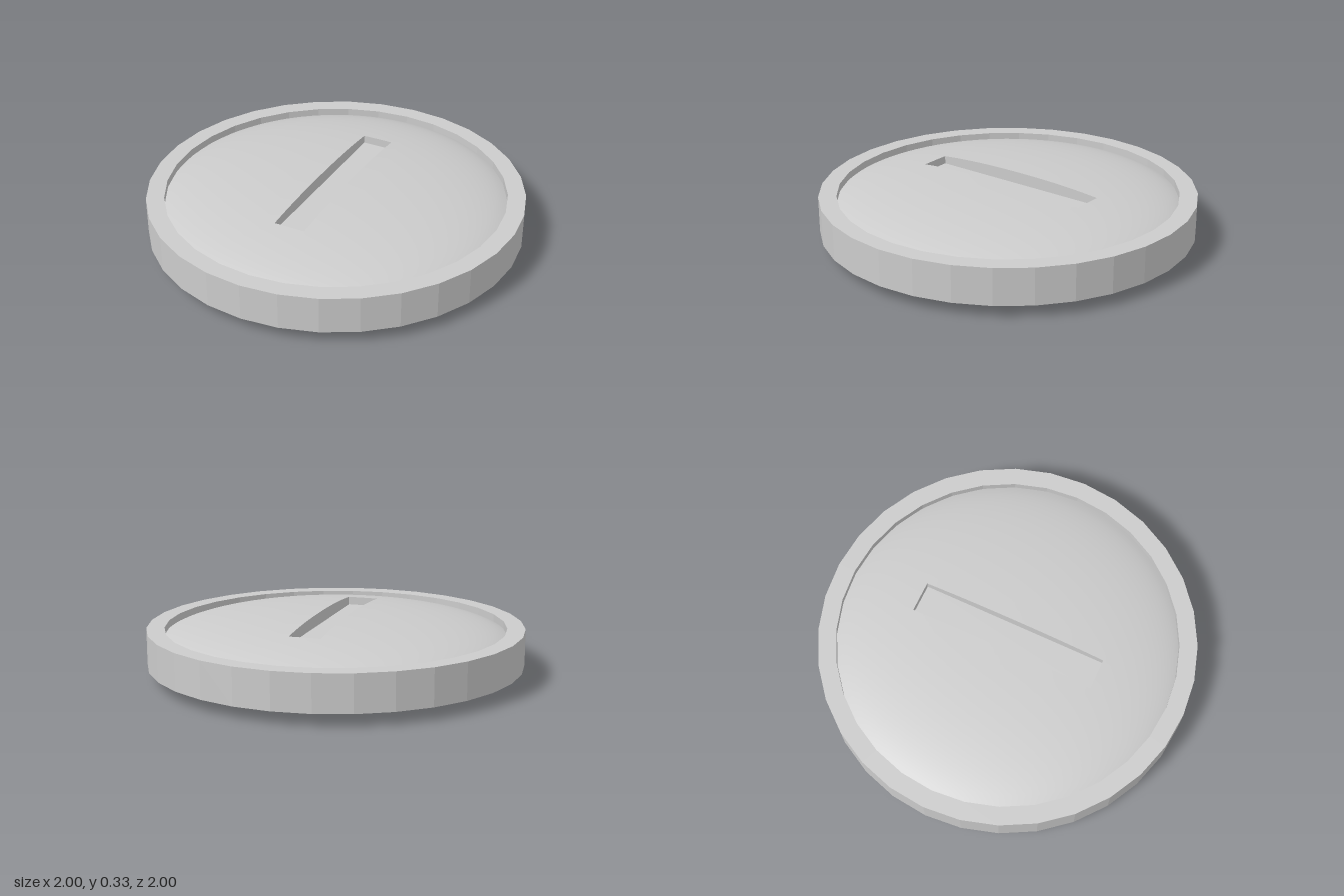
import * as THREE from 'three';

const MID = 0.164;               // height of the coin's middle plane
const W = 0.083, L = 0.51;       // half width and half length of the slot
const FLOOR = 0.262;             // slot floor height
const R = 0.92;                  // dome edge, tucked just inside the rim
const COLOR = 0xcccccc;

// Height of the domed face above the middle plane
const bulge = (x, z) => 0.163 * Math.sqrt(1 - Math.pow(Math.hypot(x, z) / 0.96, 2.2));

// Walk around the slot; each step also has a matching angle on the dome edge
function slotLoop() {
  const A = 0.35, P = Math.PI;
  const corners = [[-W, L, -A], [W, L, A], [W, -L, P - A], [-W, -L, P + A], [-W, L, 2 * P - A]];
  const loop = [];
  for (let s = 0; s < 4; s++) {
    const n = s % 2 ? 26 : 8;
    for (let i = 0; i < n; i++) {
      loop.push(corners[s].map((v, k) => THREE.MathUtils.lerp(v, corners[s + 1][k], i / n)));
    }
  }
  return loop;
}

// Skin a list of closed loops of equal length
function loft(rows, flip = false) {
  const n = rows[0].length, index = [];
  for (let r = 0; r < rows.length - 1; r++) {
    for (let i = 0; i < n; i++) {
      const j = (i + 1) % n;
      const a = r * n + i, b = a + n, c = (r + 1) * n + j, d = r * n + j;
      index.push(...(flip ? [a, c, b, a, d, c] : [a, b, c, a, c, d]));
    }
  }
  const geometry = new THREE.BufferGeometry();
  geometry.setAttribute('position', new THREE.Float32BufferAttribute(rows.flat(2), 3));
  geometry.setIndex(index);
  geometry.computeVertexNormals();
  return geometry;
}

// Domed face around the slot; side is 1 for the top, -1 for the bottom
function domeGeometry(side) {
  const rows = [], steps = 16;
  for (let k = 0; k <= steps; k++) {
    const t = Math.pow(k / steps, 0.75);
    rows.push(slotLoop().map(([x, z, a]) => {
      const px = THREE.MathUtils.lerp(x, R * Math.sin(a), t);
      const pz = THREE.MathUtils.lerp(z, R * Math.cos(a), t);
      return [px, MID + side * bulge(px, pz), pz];
    }));
  }
  return loft(rows, side < 0);
}

export function createModel() {
  const group = new THREE.Group();
  const smooth = new THREE.MeshStandardMaterial({ color: COLOR });
  const flat = new THREE.MeshStandardMaterial({ color: COLOR, flatShading: true });
  const add = (name, geometry, material) => {
    const mesh = new THREE.Mesh(geometry, material);
    mesh.name = name;
    group.add(mesh);
    return mesh;
  };

  // Faceted rim with a rectangular section
  const lo = MID - 0.097, hi = MID + 0.097;
  const section = [[0.905, lo], [1, lo], [1, hi], [0.905, hi], [0.905, lo]];
  add('rim', new THREE.LatheGeometry(section.map(p => new THREE.Vector2(...p)), 32), flat);

  // Domed faces
  add('topFace', domeGeometry(1), smooth);
  add('bottomFace', domeGeometry(-1), smooth);

  // Recessed slot in the top
  const edge = slotLoop();
  add('slotWalls', loft([
    edge.map(([x, z]) => [x, FLOOR, z]),
    edge.map(([x, z]) => [x, MID + bulge(x, z), z]),
  ]), flat);
  const floor = add('slotFloor', new THREE.PlaneGeometry(2 * W, 2 * L).rotateX(-Math.PI / 2), flat);
  floor.position.y = FLOOR;

  // Shallow V-shaped groove underneath
  const groove = new THREE.PlaneGeometry(2 * W, 2 * L, 2, 26).rotateX(Math.PI / 2);
  const p = groove.attributes.position;
  for (let i = 0; i < p.count; i++) {
    const x = p.getX(i), z = p.getZ(i);
    p.setY(i, MID - bulge(Math.abs(x) < 0.01 ? W : x, Math.abs(x) < 0.01 ? L : z));
  }
  groove.computeVertexNormals();
  add('bottomGroove', groove, flat);

  return group;
}
